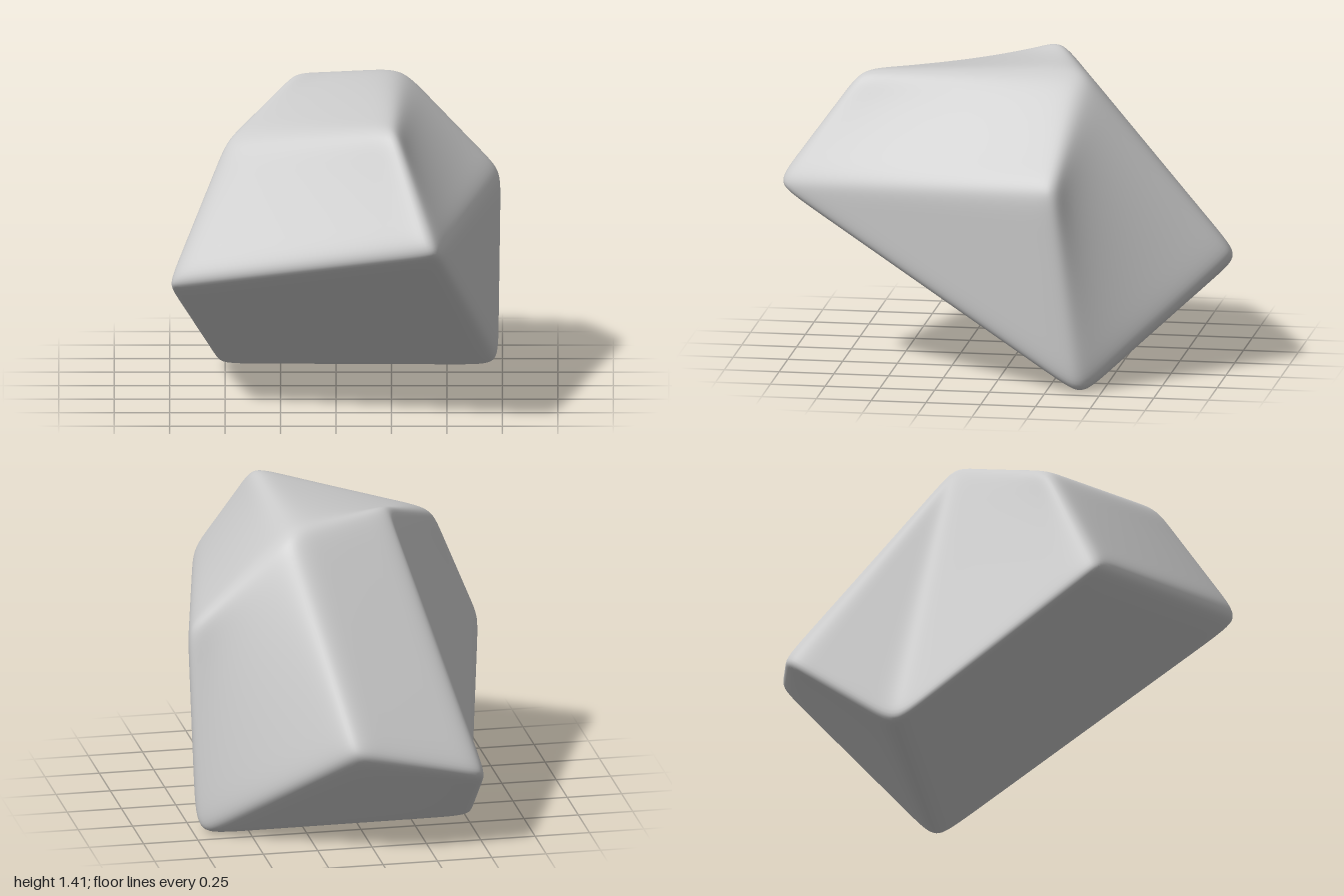
import * as THREE from 'three';

// Corners of the boulder, before its edges are rounded
const CORNERS = {
  A: [-0.785, 0.595, 0.59], B: [0.46, 0.86, 1.05], C: [0.27, 1.367, 0.685], D: [-0.51, 1.22, 0.3],
  E: [-0.19, 1.437, -0.165], F: [0.3, 1.394, -0.37], G: [0.76, 0.94, -0.295], H: [0.127, 0.53, -1.045],
  I: [-0.513, 0.345, -0.927], J: [0.743, -0.028, -0.41], K: [-0.546, -0.023, -0.405],
};
// Facets, anticlockwise from outside: front, top, right, back and left, then underneath
const FACETS = ['ABCD', 'CFED', 'CBGF', 'GBJ', 'FGJH', 'EFHI', 'EIK', 'ADEK', 'BAKJ', 'KIHJ'];
const ROUNDING = 0.14;

const average = (pts) => pts.reduce((s, p) => s.add(p), new THREE.Vector3()).divideScalar(pts.length);

// Cut each facet into a centre, edge strips and corner patches, so smoothing stays near the edges
function buildCage() {
  const points = [], faces = [], lookup = new Map();
  const index = (p) => {
    const key = p.toArray().map((n) => Math.round(n * 1e5)).join();
    if (!lookup.has(key)) lookup.set(key, points.push(p) - 1);
    return lookup.get(key);
  };
  for (const facet of FACETS) {
    const v = [...facet].map((c) => new THREE.Vector3(...CORNERS[c]));
    const n = v.length;
    const parts = v.map((p, i) => {
      const toNext = v[(i + 1) % n].clone().sub(p).setLength(ROUNDING);
      const toPrev = v[(i + n - 1) % n].clone().sub(p).setLength(ROUNDING);
      return {
        corner: index(p),
        next: index(p.clone().add(toNext)),
        prev: index(p.clone().add(toPrev)),
        inner: index(p.clone().add(toNext).add(toPrev)),
      };
    });
    parts.forEach((a, i) => {
      const b = parts[(i + 1) % n];
      faces.push([a.corner, a.next, a.inner, a.prev], [a.next, b.prev, b.inner, a.inner]);
    });
    faces.push(parts.map((p) => p.inner));
  }
  return { points, faces };
}

// One Catmull-Clark smoothing step on a closed mesh
function smooth({ points, faces }) {
  const centres = faces.map((f) => average(f.map((i) => points[i])));
  const edges = new Map();
  const around = points.map(() => ({ centres: [], mids: [] }));
  const key = (a, b) => (a < b ? `${a}_${b}` : `${b}_${a}`);
  faces.forEach((f, fi) => f.forEach((a, i) => {
    const b = f[(i + 1) % f.length], k = key(a, b);
    if (!edges.has(k)) edges.set(k, { a, b, centres: [] });
    edges.get(k).centres.push(centres[fi]);
    around[a].centres.push(centres[fi]);
  }));

  const edgePoints = [];
  for (const e of edges.values()) {
    const mid = average([points[e.a], points[e.b]]);
    around[e.a].mids.push(mid);
    around[e.b].mids.push(mid);
    e.index = points.length + edgePoints.length;
    edgePoints.push(average([points[e.a], points[e.b], ...e.centres]));
  }
  const moved = points.map((p, i) => {
    const n = around[i].mids.length;
    return average(around[i].centres)
      .addScaledVector(average(around[i].mids), 2)
      .addScaledVector(p, n - 3)
      .divideScalar(n);
  });

  const firstCentre = points.length + edgePoints.length;
  const quads = [];
  faces.forEach((f, fi) => f.forEach((a, i) => {
    const next = f[(i + 1) % f.length], prev = f[(i + f.length - 1) % f.length];
    quads.push([a, edges.get(key(a, next)).index, firstCentre + fi, edges.get(key(prev, a)).index]);
  }));
  return { points: [...moved, ...edgePoints, ...centres], faces: quads };
}

export function createModel() {
  let mesh = buildCage();
  for (let i = 0; i < 3; i++) mesh = smooth(mesh);

  const geometry = new THREE.BufferGeometry().setFromPoints(mesh.points);
  geometry.setIndex(mesh.faces.flatMap(([a, b, c, d]) => [a, b, c, a, c, d]));
  geometry.computeVertexNormals();

  const boulder = new THREE.Mesh(geometry, new THREE.MeshStandardMaterial({ color: 0xcccccc }));
  boulder.name = 'boulder';
  const group = new THREE.Group();
  group.name = 'rock';
  group.add(boulder);
  return group;
}
